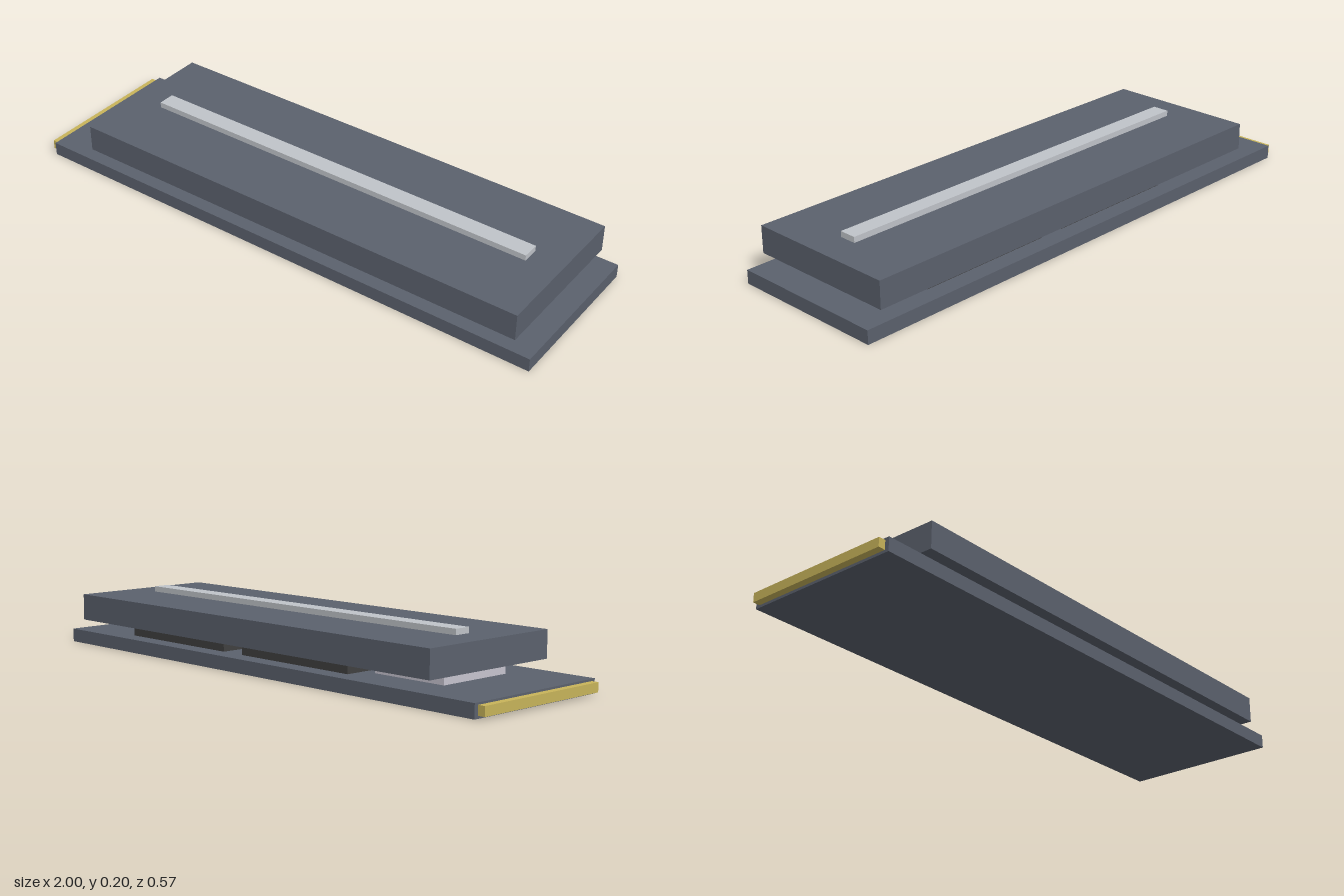
import * as THREE from 'three';

const mat = (name, color) => {
  const m = new THREE.MeshStandardMaterial({ color });
  m.name = name;
  return m;
};

export function createModel() {
  const group = new THREE.Group();
  const slate = mat('slate', 0x5b616d);
  const charcoal = mat('charcoal', 0x404040);
  const silver = mat('silver', 0xc0c4c9);
  const paleGrey = mat('pale grey', 0xc8c5d0);
  const gold = mat('gold', 0xc8b45a);

  // Box from its x and y extents and its half depth, centred on z = 0
  const slab = (name, material, x0, x1, y0, y1, halfDepth) => {
    const mesh = new THREE.Mesh(new THREE.BoxGeometry(x1 - x0, y1 - y0, halfDepth * 2), material);
    mesh.position.set((x0 + x1) / 2, (y0 + y1) / 2, 0);
    mesh.name = name;
    group.add(mesh);
  };

  // Circuit board with its contact edge
  slab('circuitBoard', slate, -0.975, 1, 0, 0.048, 0.285);
  slab('edgeContacts', gold, -1, -0.975, 0.009, 0.041, 0.27);

  // Chips between board and cover
  slab('controllerChip', paleGrey, -0.735, -0.445, 0.048, 0.088, 0.145);
  [-0.4, 0.2].forEach((x, i) => slab(`memoryChip${i + 1}`, charcoal, x, x + 0.505, 0.048, 0.088, 0.221));

  // Heat spreader and its raised strip
  slab('heatSpreader', slate, -0.795, 0.94, 0.088, 0.183, 0.277);
  slab('trimStrip', silver, -0.68, 0.825, 0.183, 0.203, 0.031);

  return group;
}
